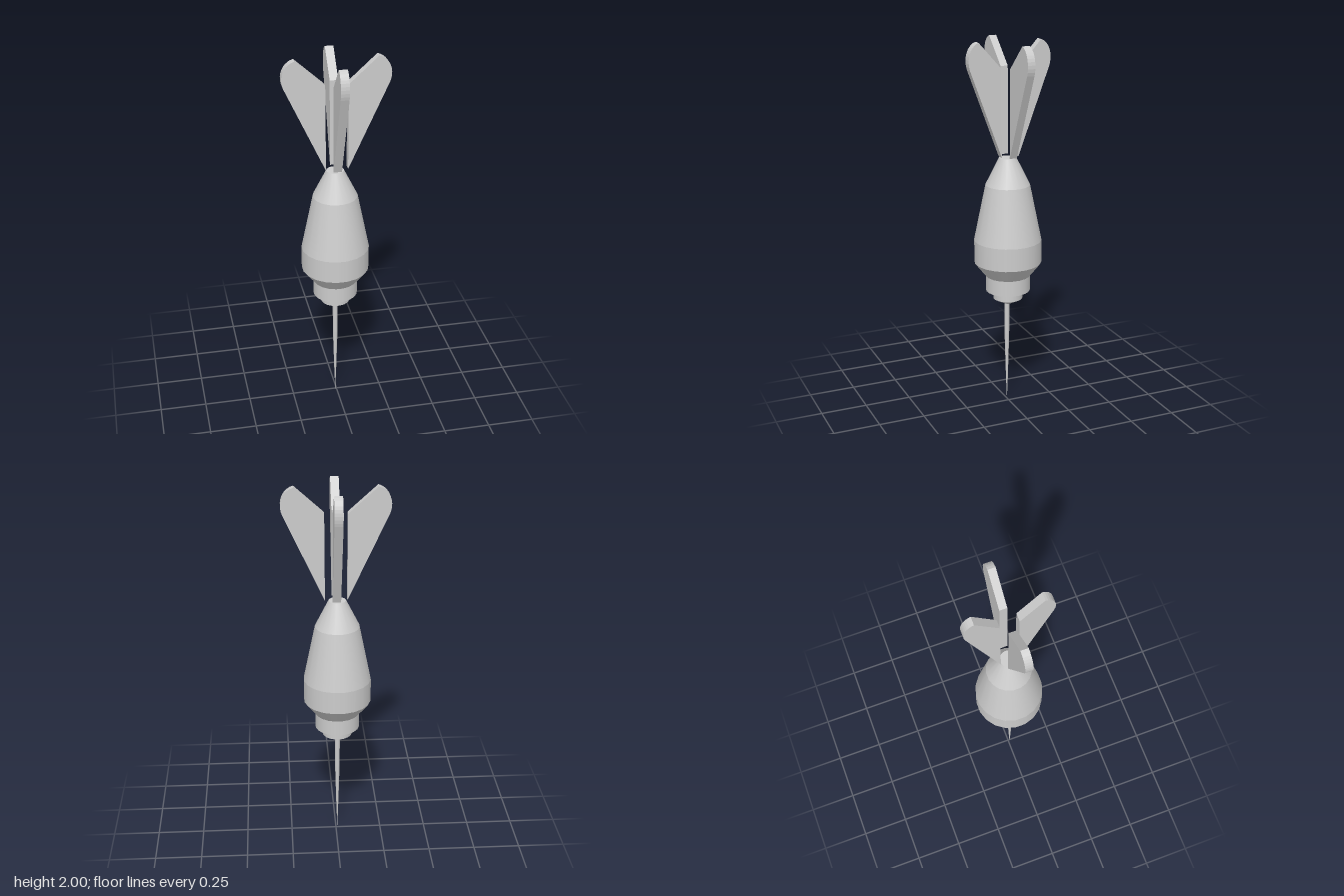
import * as THREE from 'three';

const material = new THREE.MeshStandardMaterial({ color: 0xcccccc });
const SIDES = 20;

// Turned part: one smooth band per pair of [radius, y] points, crisp edges between bands.
function turned(name, profile, sides = SIDES) {
  const part = new THREE.Group();
  part.name = name;
  for (let i = 0; i < profile.length - 1; i++) {
    const band = profile.slice(i, i + 2).map(([r, y]) => new THREE.Vector2(r, y));
    const mesh = new THREE.Mesh(new THREE.LatheGeometry(band, sides, Math.PI / sides), material);
    mesh.name = name + 'Band';
    part.add(mesh);
  }
  return part;
}

// Flat fin: leaf outline in the x-y plane, extruded about its middle.
function finGeometry(thickness) {
  const s = new THREE.Shape();
  s.moveTo(0.058, 1.398);
  s.lineTo(0.27, 1.86);
  s.bezierCurveTo(0.295, 1.92, 0.268, 1.985, 0.212, 2.0);
  s.lineTo(0.06, 1.862);
  s.closePath();
  const g = new THREE.ExtrudeGeometry(s, { depth: thickness, bevelEnabled: false, curveSegments: 10 });
  return g.translate(0, 0, -thickness / 2);
}

export function createModel() {
  const model = new THREE.Group();
  model.name = 'dart';

  // Barrel and front fittings, listed from bottom to top
  const body = new THREE.Group();
  body.name = 'body';
  body.position.set(-0.007, 0, 0.002);
  body.add(
    turned('barrel', [
      [0, 0.742], [0.12, 0.742], [0.18, 0.818], [0.18, 0.942],
      [0.118, 1.245], [0.046, 1.39], [0, 1.39],
    ]),
    turned('collar', [[0, 0.652], [0.119, 0.657], [0.119, 0.745], [0, 0.745]]),
    turned('nose', [[0, 0.574], [0.014, 0.576], [0.079, 0.61], [0.079, 0.655]]),
  );
  model.add(body);

  // Needle tapering to a point
  const needle = turned('needle', [[0, 0], [0.006, 0.16], [0.013, 0.4], [0.014, 0.58]], 12);
  needle.position.set(-0.008, 0, 0.007);
  model.add(needle);

  // Four fins; the front and back pair is a little narrower
  const fin = finGeometry(0.04);
  for (let i = 0; i < 4; i++) {
    const mesh = new THREE.Mesh(fin, material);
    mesh.name = ['leftFin', 'backFin', 'rightFin', 'frontFin'][i];
    mesh.rotation.y = (i * Math.PI) / 2;
    if (i % 2) {
      mesh.scale.set(0.81, 1, 1.1);
      mesh.position.x = -0.002;
    } else {
      mesh.position.z = -0.001;
    }
    model.add(mesh);
  }
  return model;
}
